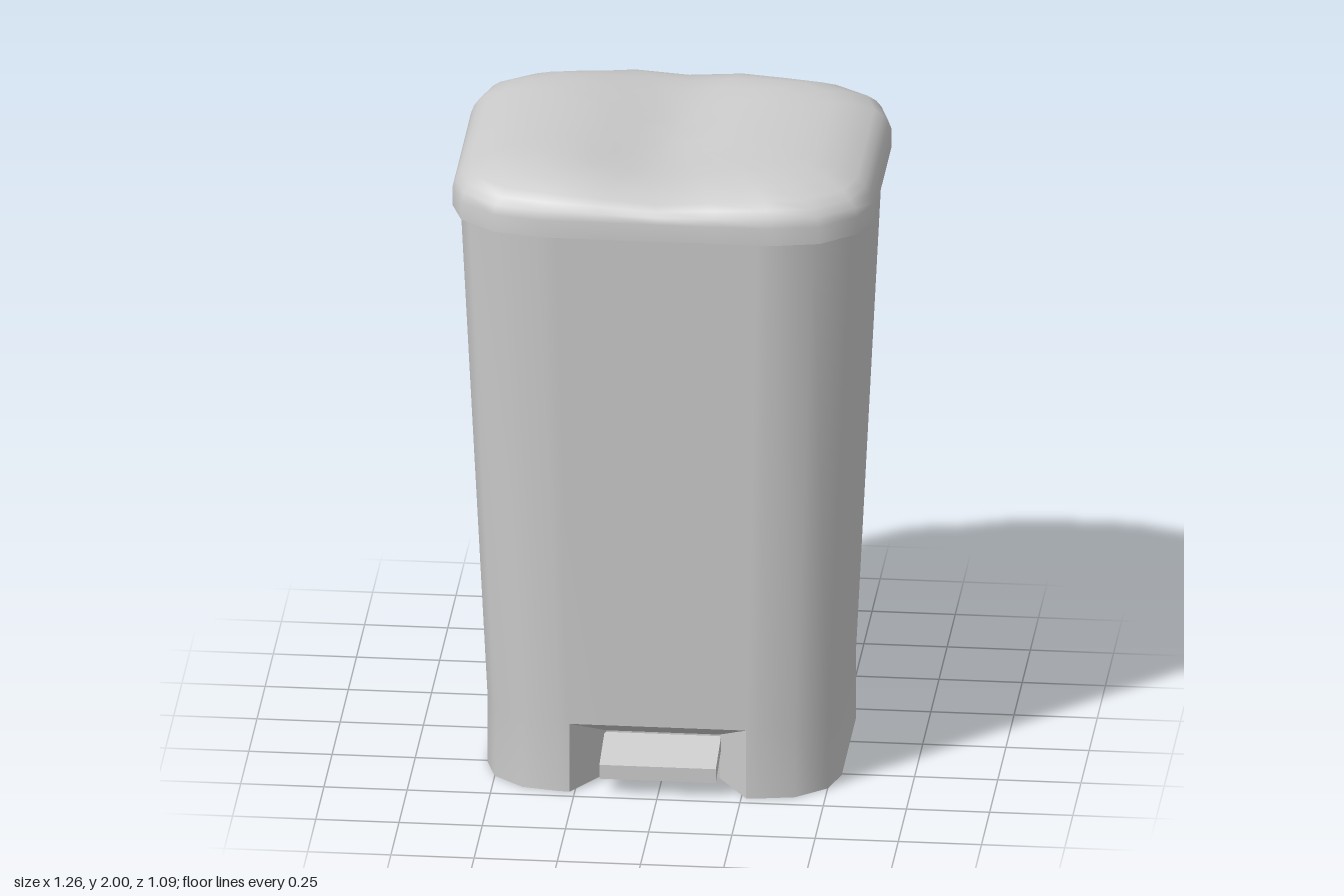
import * as THREE from 'three';
import { mergeVertices } from 'three/addons/utils/BufferGeometryUtils.js';

const material = new THREE.MeshStandardMaterial({ color: 0xcccccc, side: THREE.DoubleSide });
const flatMaterial = new THREE.MeshStandardMaterial({ color: 0xcccccc, side: THREE.DoubleSide, flatShading: true });

// Half outlines as [x, z], running from front centre round +x to back centre
const BODY = [[0, 0.465], [0.265, 0.465], [0.3, 0.463], [0.41, 0.442], [0.5, 0.365], [0.532, 0.26],
  [0.532, -0.18], [0.505, -0.27], [0.41, -0.338], [0.3, -0.362], [0.16, -0.38], [0, -0.385]];
const LID = [[0, 0.546], [0.175, 0.546], [0.35, 0.545], [0.49, 0.515], [0.595, 0.43], [0.632, 0.32],
  [0.632, 0.03], [0.632, -0.255], [0.6, -0.365], [0.49, -0.445], [0.35, -0.475], [0.175, -0.542], [0, -0.548]];
const SPINE = [[0, -0.33], [0.14, -0.33], [0.14, -0.4], [0.122, -0.435], [0.075, -0.46], [0, -0.468]];

const mirror = half => [...half, ...half.slice(1, -1).reverse().map(([x, z]) => [-x, z])];
const ring = (outline, y, sx = 1, sz = sx) => outline.map(([x, z]) => new THREE.Vector3(x * sx, y, z * sz));

// Skin between rings of equal length; skip(row, column) leaves openings
function loft(rings, closed = true, skip = () => false) {
  const n = rings[0].length, index = [];
  for (let r = 0; r < rings.length - 1; r++) {
    for (let c = 0; c < (closed ? n : n - 1); c++) {
      if (skip(r, c)) continue;
      const a = r * n + c, b = r * n + (c + 1) % n;
      index.push(a, b, a + n, b, b + n, a + n);
    }
  }
  let g = new THREE.BufferGeometry().setFromPoints(rings.flat());
  g.setIndex(index);
  g = mergeVertices(g, 1e-5);
  g.computeVertexNormals();
  return g;
}

// Flat horizontal face filling an [x, z] outline
function cap(outline, y, up) {
  const g = new THREE.ShapeGeometry(new THREE.Shape(outline.map(([x, z]) => new THREE.Vector2(x, up ? -z : z))));
  g.rotateX(up ? -Math.PI / 2 : Math.PI / 2);
  return g.translate(0, y, 0);
}

const scaled = (outline, sx, sz) => outline.map(([x, z]) => [x * sx, z * sz]);

export function createModel() {
  const model = new THREE.Group();
  const add = (name, geometry, mat = material, parent = model) => {
    const mesh = new THREE.Mesh(geometry, mat);
    mesh.name = name;
    parent.add(mesh);
    return mesh;
  };

  // Tapered bin body with an opening at the foot of the front
  const body = mirror(BODY), last = body.length - 1;
  add('bodyShell', loft(
    [ring(body, 0), ring(body, 0.22), ring(body, 1.84, 1.148, 1.125)],
    true, (r, c) => r === 0 && (c === 0 || c === last)));
  add('bodyTop', cap(scaled(body, 1.148, 1.125), 1.84, true));

  // Base plate, notched where the pedal sits
  add('base', cap([[0.17, 0.315], ...body.slice(1), [-0.17, 0.315]], 0, false));

  // Splayed recess around the pedal
  const arch = (w, h, z) => [[-w, 0], [-w, h], [w, h], [w, 0]].map(([x, y]) => new THREE.Vector3(x, y, z));
  add('pedalRecess', loft([arch(0.265, 0.22, 0.465), arch(0.17, 0.14, 0.315)], false), flatMaterial);
  add('recessBack', new THREE.PlaneGeometry(0.34, 0.14).translate(0, 0.07, 0.315));

  // Sloping pedal, drawn as a side profile of z and y
  const profile = new THREE.Shape([[0.475, 0.05], [0.475, 0.095], [0.315, 0.135], [0.315, 0.09]]
    .map(([z, y]) => new THREE.Vector2(z, y)));
  const pedal = new THREE.ExtrudeGeometry(profile, { depth: 0.35, bevelEnabled: false });
  add('pedal', pedal.rotateY(-Math.PI / 2).translate(0.175, 0, 0));

  // Rounded spine housing the lifting rod
  const spine = mirror(SPINE);
  add('spine', loft([ring(spine, 0), ring(spine, 1.67, 1.14, 1.115)]));
  add('spineTop', cap(scaled(spine, 1.14, 1.115), 1.67, true));
  add('spineBase', cap(spine, 0, false));
  add('liftRod', new THREE.BoxGeometry(0.16, 0.28, 0.022).translate(0, 1.75, -0.488));

  // Lid: domed rings with a shallow valley down the middle
  const lid = new THREE.Group();
  lid.name = 'lid';
  model.add(lid);
  const outline = mirror(LID);
  const levels = [[1, 1.83], [1, 1.885], [0.985, 1.912], [0.96, 1.935], [0.92, 1.956], [0.83, 1.98],
    [0.73, 1.995], [0.6, 2], [0.45, 2], [0.3, 2], [0.15, 2], [0, 2]];
  const dome = levels.map(([s, y]) => ring(outline, y, s));
  for (const p of dome.flat()) {
    const valley = 1 - THREE.MathUtils.smoothstep(Math.abs(p.x), 0, 0.32);
    p.y -= 0.043 * valley * THREE.MathUtils.clamp((p.y - 1.89) / 0.11, 0, 1);
  }
  add('lidShell', loft(dome), material, lid);
  add('lidRim', loft([ring(outline, 1.83, 0.975), ring(outline, 1.83, 1)]), material, lid);
  add('lidInnerWall', loft([ring(outline, 1.88, 0.97), ring(outline, 1.83, 0.975)]), material, lid);
  add('lidUnderside', cap(scaled(outline, 0.97, 0.97), 1.88, false), material, lid);

  return model;
}
